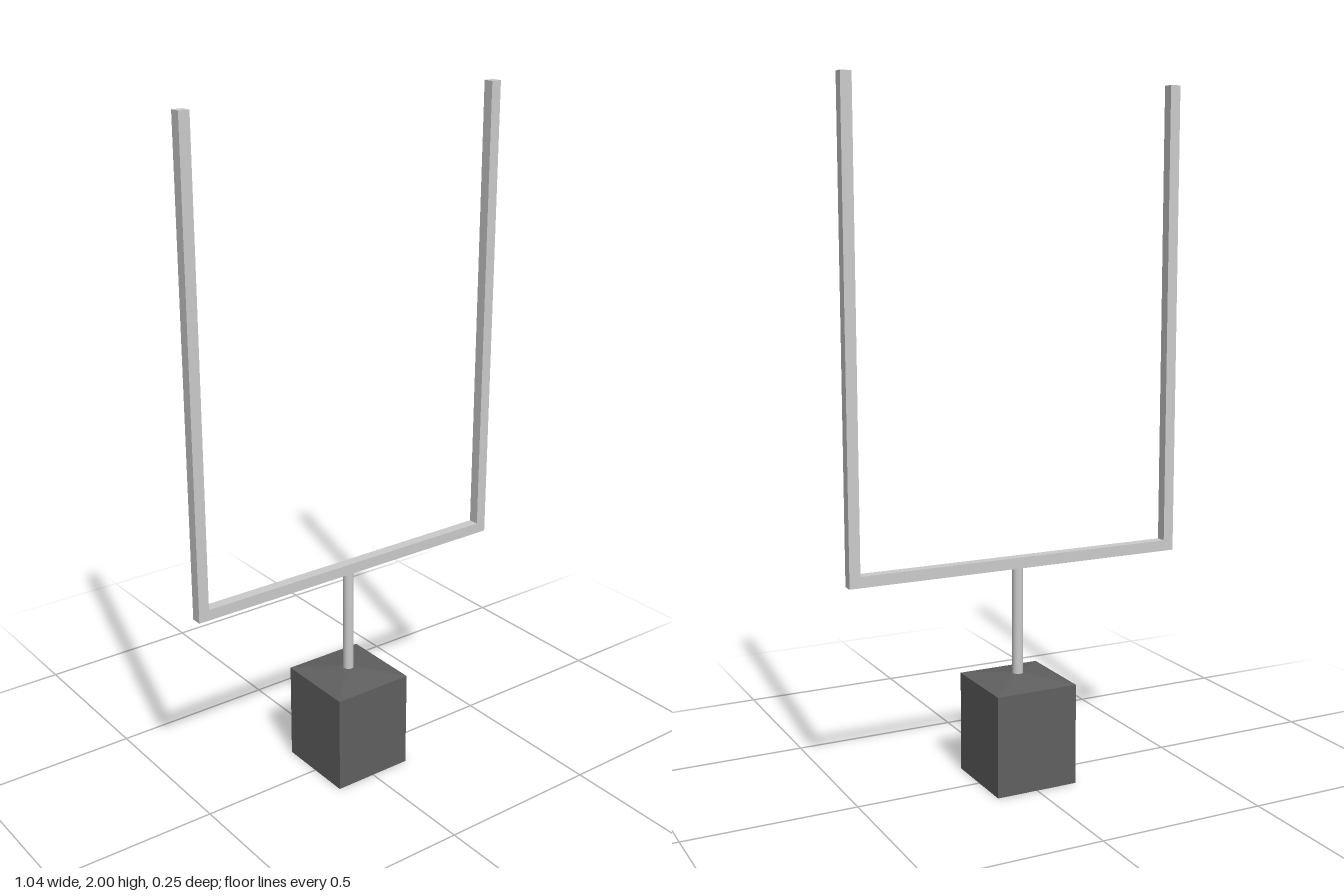
import * as THREE from 'three';

const BAR = 0.032; // thickness of the square tubing
const HALF = 0.125; // half width of the base
const SHOULDER = 0.297, NECK = 0.317; // heights of the base's sloped cap
const BAR_Y = 0.63; // underside of the crossbar

// Sloped cap blending the square base into the round post
function capGeometry(radius, perCorner) {
  const pos = [];
  const corner = k => [
    HALF * Math.SQRT2 * Math.cos(Math.PI / 4 + k * Math.PI / 2), SHOULDER,
    HALF * Math.SQRT2 * Math.sin(Math.PI / 4 + k * Math.PI / 2)];
  const rim = a => [radius * Math.cos(a), NECK, radius * Math.sin(a)];
  for (let k = 0; k < 4; k++) {
    const start = k * Math.PI / 2, step = Math.PI / 2 / perCorner;
    // fan from each corner to its quarter of the rim
    for (let i = 0; i < perCorner; i++) {
      pos.push(...corner(k), ...rim(start + i * step), ...rim(start + (i + 1) * step));
    }
    // flat triangle along each side
    pos.push(...corner(k), ...rim(start + Math.PI / 2), ...corner(k + 1));
  }
  const geo = new THREE.BufferGeometry();
  geo.setAttribute('position', new THREE.Float32BufferAttribute(pos, 3));
  geo.computeVertexNormals();
  return geo;
}

export function createModel() {
  const group = new THREE.Group();
  const metal = new THREE.MeshStandardMaterial({ color: 0xcccccc });
  const dark = new THREE.MeshStandardMaterial({ color: 0x606060, side: THREE.DoubleSide });

  const add = (name, geo, mat, x, y) => {
    const mesh = new THREE.Mesh(geo, mat);
    mesh.name = name;
    mesh.position.set(x, y, 0);
    group.add(mesh);
  };

  // Padded base block with sloped top
  add('base', new THREE.BoxGeometry(2 * HALF, SHOULDER, 2 * HALF), dark, 0, SHOULDER / 2);
  add('baseCap', capGeometry(0.018, 4), dark, 0, 0);

  // Round support post
  const postBottom = 0.3;
  add('post', new THREE.CylinderGeometry(BAR / 2, BAR / 2, BAR_Y - postBottom, 16),
    metal, 0, (BAR_Y + postBottom) / 2);

  // Crossbar and the two uprights standing at its ends
  const outer = 0.518;
  add('crossbar', new THREE.BoxGeometry(2 * (outer - BAR), BAR, BAR), metal, 0, BAR_Y + BAR / 2);
  for (const [name, s] of [['leftUpright', 1], ['rightUpright', -1]]) {
    add(name, new THREE.BoxGeometry(BAR, 2 - BAR_Y, BAR), metal,
      s * (outer - BAR / 2), (2 + BAR_Y) / 2);
  }
  return group;
}
